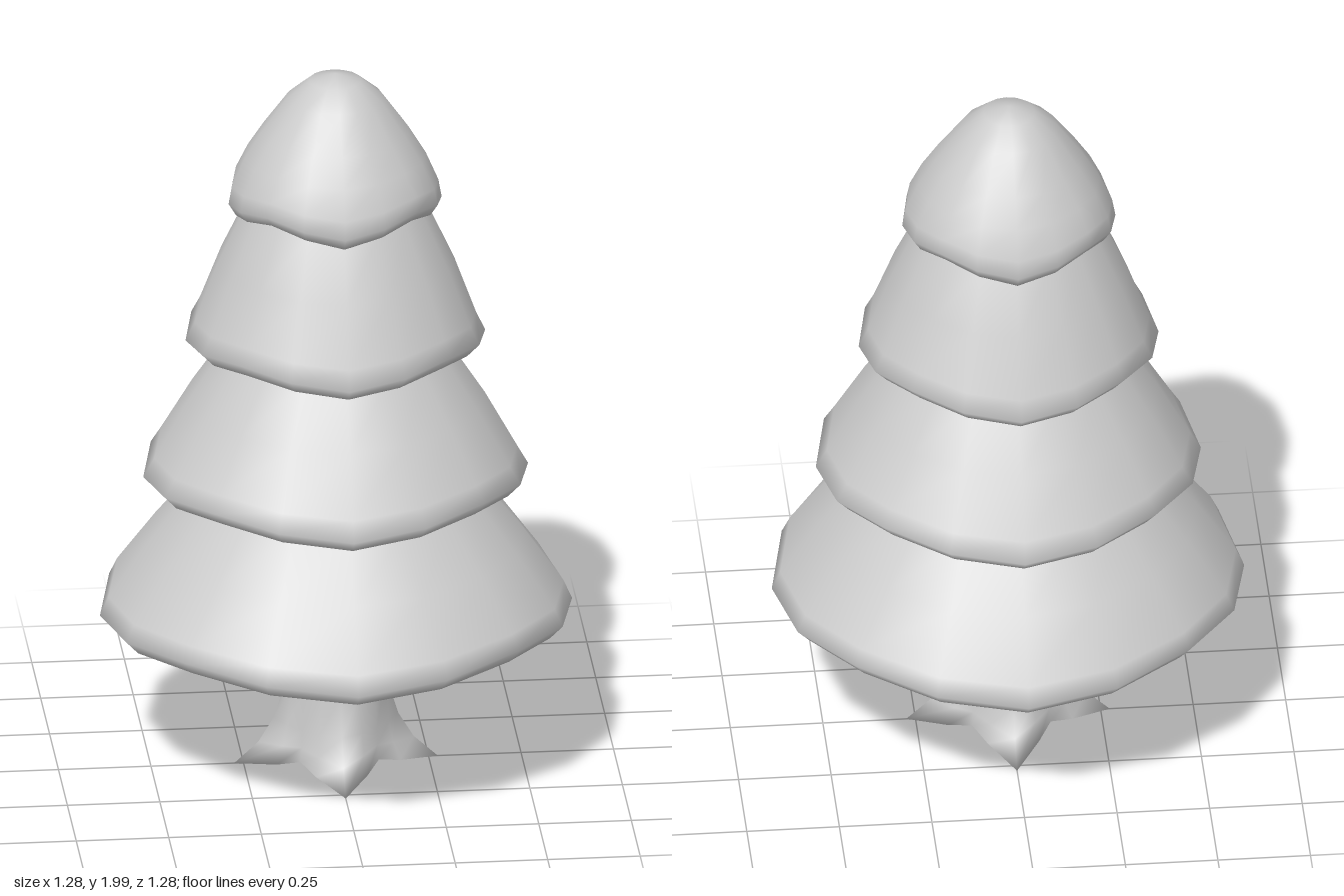
import * as THREE from 'three';

const SIDES = 16;
const material = new THREE.MeshStandardMaterial({ color: 0xcccccc, side: THREE.DoubleSide });

// Closed smooth solid from rings listed bottom to top.
// Each ring is [radius, y, lift, flare]: lift raises the diagonals, flare pushes out four lobes.
function loft(name, rings, bottomY, topY) {
  const pos = [], index = [];
  for (const [r, y, lift = 0, flare = 0] of rings) {
    for (let i = 0; i < SIDES; i++) {
      const a = (i / SIDES) * Math.PI * 2;
      const lobe = (1 + Math.cos(4 * a)) / 2;
      const rad = r + flare * lobe * lobe;
      pos.push(Math.sin(a) * rad, y + lift * (1 - lobe), Math.cos(a) * rad);
    }
  }
  const n = rings.length, bottom = n * SIDES, top = bottom + 1;
  pos.push(0, bottomY, 0, 0, topY, 0);
  for (let i = 0; i < SIDES; i++) {
    const j = (i + 1) % SIDES;
    for (let k = 0; k < n - 1; k++) {
      const p = k * SIDES, q = p + SIDES;
      index.push(p + i, p + j, q + j, p + i, q + j, q + i);
    }
    index.push(bottom, j, i);
    index.push(top, (n - 1) * SIDES + i, (n - 1) * SIDES + j);
  }
  const geo = new THREE.BufferGeometry();
  geo.setAttribute('position', new THREE.Float32BufferAttribute(pos, 3));
  geo.setIndex(index);
  geo.computeVertexNormals();
  const mesh = new THREE.Mesh(geo, material);
  mesh.name = name;
  return mesh;
}

export function createModel() {
  const tree = new THREE.Group();
  tree.name = 'tree';

  // Trunk flaring into four roots
  tree.add(loft('trunk', [
    [0.07, 0.045],
    [0.145, 0.05, 0, 0.03],
    [0.15, 0.01, 0.04, 0.125],
    [0.145, 0.07, 0.02, 0.065],
    [0.143, 0.14, 0, 0.025],
    [0.135, 0.25],
    [0.125, 0.42],
    [0.12, 0.5],
  ], 0.045, 0.5));

  // Skirt tiers: rim radius, rim y, shoulder radius, radius and y where the next tier covers it, z shift
  const tiers = [
    [0.638, 0.42, 0.615, 0.385, 0.82, 0],
    [0.52, 0.815, 0.49, 0.3, 1.22, -0.01],
    [0.405, 1.205, 0.38, 0.245, 1.62, -0.018],
  ];
  tiers.forEach(([r, y, shoulder, rTop, yTop, z], i) => {
    const tier = loft(`foliageTier${i + 1}`, [
      [r * 0.55, y + 0.03, 0.005],
      [r - 0.035, y, 0.035],
      [r, y + 0.035, 0.04],
      [shoulder, y + 0.088, 0.03],
      [(shoulder + rTop) / 2 + 0.008, (y + 0.088 + yTop) / 2, 0.01],
      [rTop, yTop],
      [rTop * 0.7, yTop + 0.12],
    ], y + 0.03, yTop + 0.16);
    tier.position.z = z;
    tree.add(tier);
  });

  // Rounded crown
  const crown = loft('crown', [
    [0.15, 1.625],
    [0.268, 1.597, 0.045],
    [0.288, 1.63, 0.04],
    [0.279, 1.68, 0.03],
    [0.245, 1.76, 0.01],
    [0.2, 1.835],
    [0.13, 1.932],
    [0.07, 1.982],
  ], 1.625, 2);
  crown.position.z = -0.025;
  tree.add(crown);

  return tree;
}
